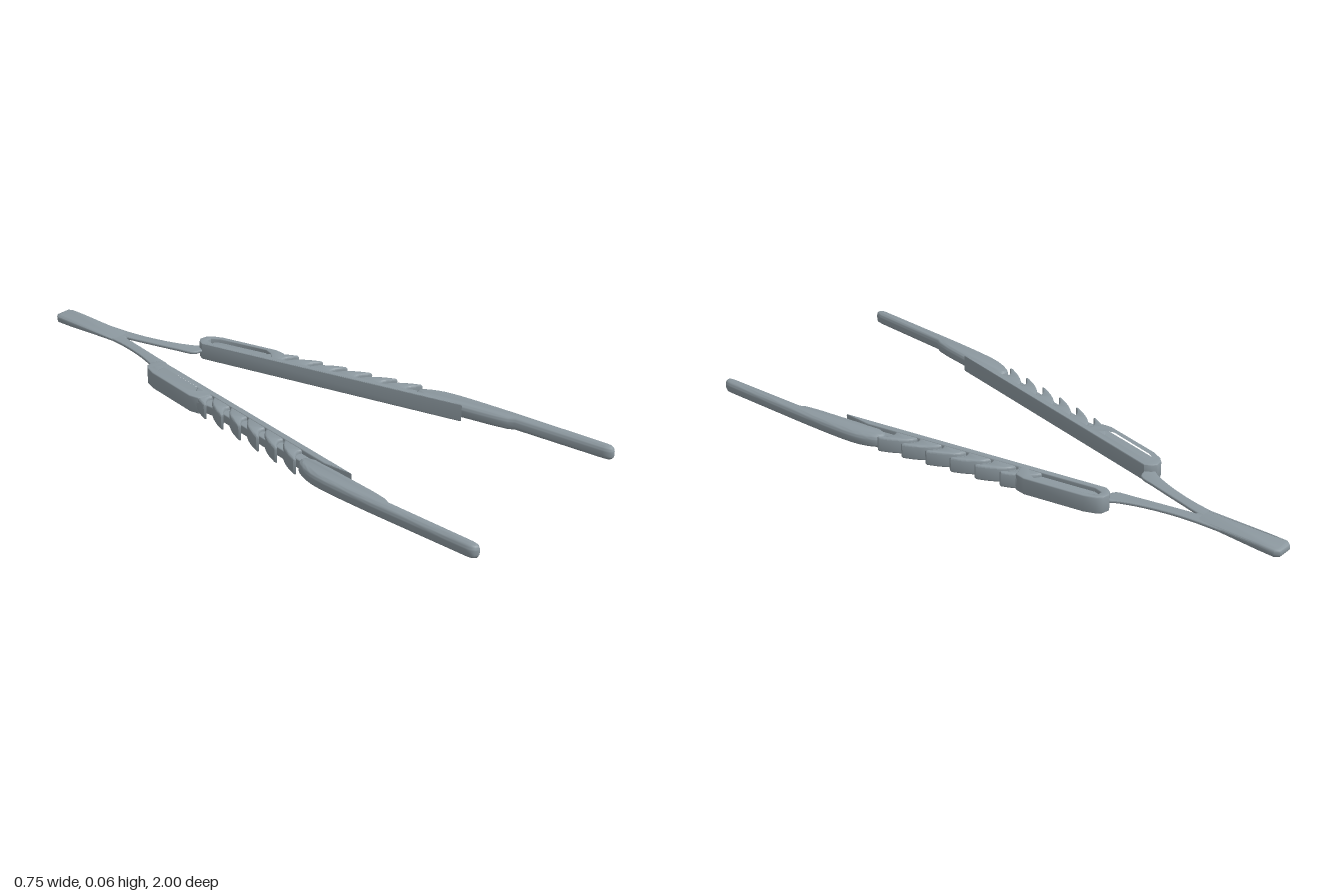
import * as THREE from 'three';
import { toCreasedNormals } from 'three/addons/utils/BufferGeometryUtils.js';

const steel = new THREE.MeshStandardMaterial({ color: 0x8c989f });
steel.name = 'steel grey';

// Straight inner edge of a grip: x as a function of z
const inner = (z) => 0.09 + 0.205 * (z + 0.43);
const vecs = (pts, s) => pts.map(([x, z]) => new THREE.Vector2(s * x, z));
const spline = (pts, n = 16) =>
  new THREE.SplineCurve(vecs(pts, 1)).getPoints(n).map((p) => [p.x, p.y]);

// Plan outline (x, z) raised between heights y0 and y1 with rounded edges
function slab(name, pts, y0, y1, bevel, s = 1, hole = null, segments = 3) {
  const shape = new THREE.Shape(vecs(pts, s));
  if (hole) shape.holes.push(new THREE.Path(vecs(hole, s)));
  const g = new THREE.ExtrudeGeometry(shape, {
    depth: Math.max(y1 - y0 - 2 * bevel, 0.001),
    bevelThickness: bevel, bevelSize: bevel, bevelOffset: -bevel,
    bevelSegments: segments, curveSegments: 8,
  });
  g.rotateX(Math.PI / 2);
  g.translate(0, y1 - bevel, 0);
  const mesh = new THREE.Mesh(toCreasedNormals(g, 0.7), steel);
  mesh.name = name;
  return mesh;
}

function makeHandle() {
  const cx = -0.004, w = 0.037;
  const mesh = slab('rearHandle', [
    [cx - w, -0.985], [cx - w + 0.012, -1], [cx + w - 0.012, -1], [cx + w, -0.985],
    [cx + w, -0.93], [cx + w - 0.002, -0.69], [cx - w + 0.002, -0.69], [cx - w, -0.93],
  ], 0.018, 0.046, 0.01);
  // Thin the handle towards the fork
  const p = mesh.geometry.attributes.position;
  for (let i = 0; i < p.count; i++) {
    const t = THREE.MathUtils.clamp((p.getZ(i) + 0.94) / 0.24, 0, 1);
    p.setY(i, 0.032 + (p.getY(i) - 0.032) * (1 - 0.68 * t));
  }
  mesh.geometry = (mesh.geometry.deleteAttribute('normal'), toCreasedNormals(mesh.geometry, 0.7));
  // Clear gap of the fork starts at the end of the handle
  return mesh;
}

function makeLeg(s) {
  const leg = new THREE.Group();
  leg.name = s > 0 ? 'leftLeg' : 'rightLeg';

  // Thin spring arm curving out from the handle
  leg.add(slab('springArm', [
    ...spline([[0.033, -0.8], [0.038, -0.72], [0.05, -0.635], [0.073, -0.545], [0.103, -0.47], [0.135, -0.43]]),
    [0.12, -0.415],
    ...spline([[0.09, -0.425], [0.06, -0.44], [0.045, -0.5], [0.02, -0.61], [0, -0.71], [0, -0.8]]),
  ], 0.027, 0.037, 0.003, s));

  // Grip core: floor of the trough and of the gaps between the ridges
  leg.add(slab('gripCore', [
    [inner(-0.42) + 0.006, -0.42], [inner(-0.42) + 0.07, -0.42], [inner(-0.18) + 0.07, -0.18],
    [inner(-0.1) + 0.054, -0.1], [inner(0.38) + 0.054, 0.38], [inner(0.38) + 0.006, 0.38],
  ], 0.016, 0.047, 0.004, s));

  // Full-height inner rail with a rim around the rear trough
  const at = (d, z) => [inner(z) + d, z];
  leg.add(slab('gripRim', [
    at(0, -0.425), at(0.015, -0.445), at(0.034, -0.456), at(0.058, -0.452), at(0.07, -0.437),
    at(0.078, -0.4), at(0.078, -0.2), at(0.066, -0.165), at(0.022, -0.15),
    at(0.022, 0.4), at(0, 0.5),
  ], 0.003, 0.061, 0.004, s, [
    at(0.021, -0.4), at(0.033, -0.428), at(0.05, -0.428), at(0.061, -0.4),
    at(0.063, -0.23), at(0.045, -0.2), at(0.021, -0.18),
  ]));

  // Swept finger ridges
  for (let i = 0; i < 6; i++) {
    const z = -0.245 + i * 0.0875;
    leg.add(slab('gripRidge' + (i + 1), [
      ...spline([at(0.015, z + 0.02), at(0.045, z + 0.04), at(0.067, z + 0.08), at(0.079, z + 0.122)], 8),
      ...spline([at(0.074, z + 0.13), at(0.05, z + 0.105), at(0.032, z + 0.1), at(0.015, z + 0.112)], 8),
    ], 0.007, 0.059, 0.006, s));
  }

  // Tapered shoulder running into the rounded tip
  leg.add(slab('tip', [
    at(0.012, 0.36),
    ...spline([at(0.03, 0.325), at(0.055, 0.318), at(0.076, 0.345), [0.349, 0.42], [0.362, 0.58], [0.37, 0.78], [0.377, 0.965]], 24),
    [0.376, 0.982], [0.37, 0.994], [0.361, 1], [0.352, 0.998], [0.344, 0.99], [0.34, 0.97],
    [0.323, 0.67], [0.312, 0.65], [inner(0.6), 0.6],
  ], 0.009, 0.055, 0.017, s, null, 6));
  return leg;
}

export function createModel() {
  const model = new THREE.Group();
  model.name = 'springTongs';
  model.add(makeHandle(), makeLeg(1), makeLeg(-1));
  return model;
}
